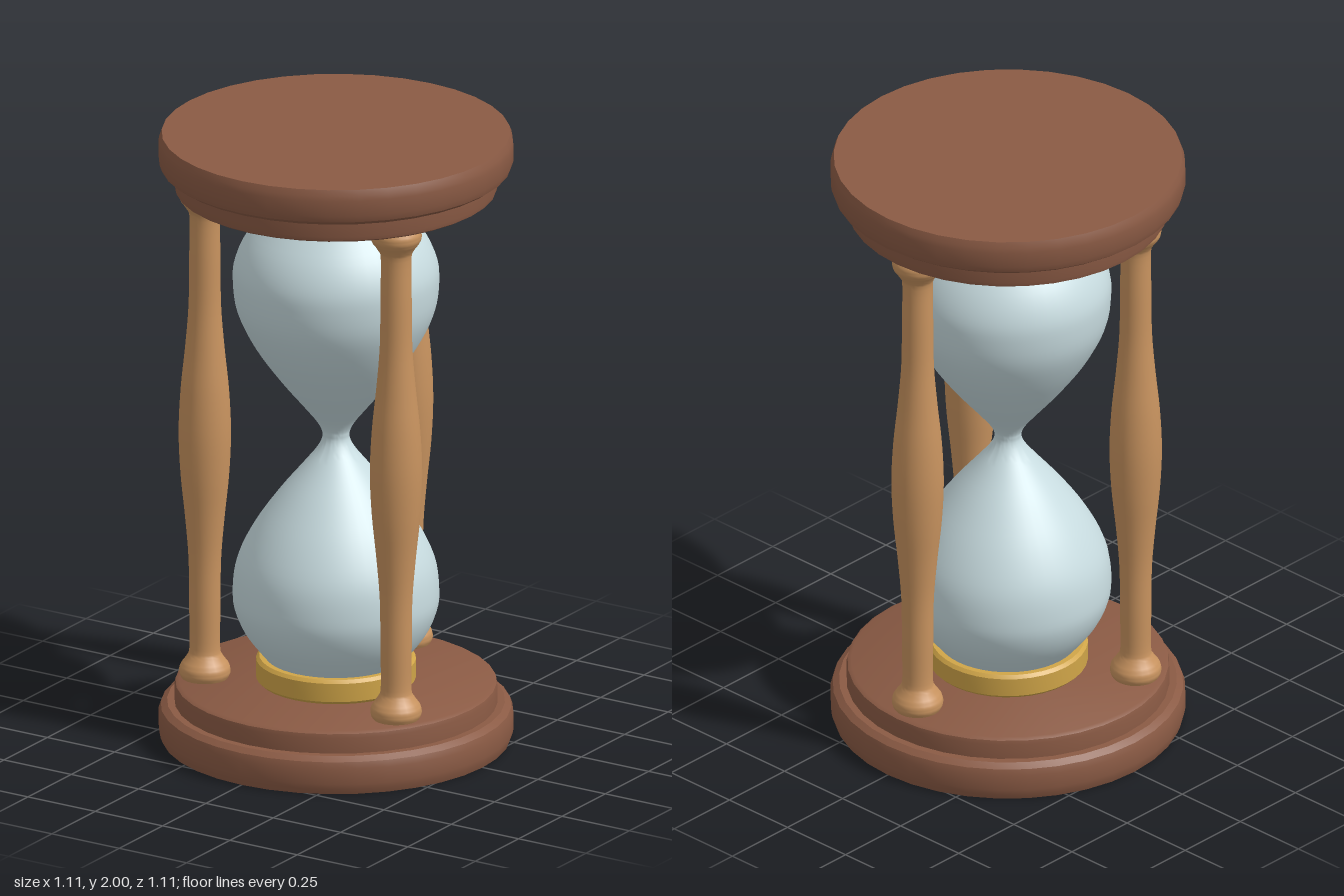
import * as THREE from 'three';
import { toCreasedNormals } from 'three/addons/utils/BufferGeometryUtils.js';

const material = (name, color) => {
  const m = new THREE.MeshStandardMaterial({ color });
  m.name = name;
  return m;
};

// Turned solid from [radius, height] pairs, listed bottom to top
function turned(name, profile, segments, mat, crease = 0.6) {
  const points = profile.map(([r, y]) => new THREE.Vector2(r, y));
  const geometry = toCreasedNormals(new THREE.LatheGeometry(points, segments), crease);
  const mesh = new THREE.Mesh(geometry, mat);
  mesh.name = name;
  return mesh;
}

// Half profile mirrored about y = 1, then smoothed with a spline
function mirroredCurve(half, samples) {
  const full = [...half, ...half.slice(0, -1).reverse().map(([r, y]) => [r, 2 - y])];
  const curve = new THREE.SplineCurve(full.map(([r, y]) => new THREE.Vector2(r, y)));
  return curve.getPoints(samples).map((p) => [p.x, p.y]);
}

export function createModel() {
  const group = new THREE.Group();
  group.name = 'hourglass';
  const darkWood = material('dark wood', 0x8a5a44);
  const lightWood = material('light wood', 0xc8935f);
  const glass = material('pale glass', 0xc8dce0);
  const brass = material('brass', 0xd0a548);

  // Stepped plate and brass collar, repeated upside down at the top
  for (const end of ['bottom', 'top']) {
    const cap = new THREE.Group();
    cap.name = end + 'Cap';
    cap.add(
      turned('plate', [[0, 0], [0.545, 0], [0.552, 0.018], [0.555, 0.035], [0.555, 0.085],
        [0.548, 0.106], [0.528, 0.12], [0, 0.12]], 36, darkWood),
      turned('plateStep', [[0, 0.11], [0.505, 0.11], [0.505, 0.17], [0.502, 0.183],
        [0.49, 0.19], [0, 0.19]], 36, darkWood),
      turned('collar', [[0, 0.19], [0.24, 0.19], [0.25, 0.2], [0.25, 0.26],
        [0.24, 0.27], [0, 0.27]], 36, brass),
    );
    if (end === 'top') {
      cap.position.y = 2;
      cap.rotation.x = Math.PI;
    }
    group.add(cap);
  }

  // Double glass bulb with a narrow waist
  const bulb = mirroredCurve([[0.215, 0.262], [0.28, 0.345], [0.315, 0.42], [0.323, 0.49],
    [0.308, 0.59], [0.255, 0.7], [0.178, 0.81], [0.1, 0.905], [0.057, 0.96], [0.042, 1]], 72);
  group.add(turned('glassBulb', bulb, 48, glass, 1));

  // Three turned posts: one at the back, two towards the front
  const post = mirroredCurve([[0.07, 0.185], [0.08, 0.205], [0.077, 0.23], [0.058, 0.258],
    [0.048, 0.29], [0.049, 0.42], [0.051, 0.58], [0.062, 0.72], [0.076, 0.86], [0.082, 1]], 72);
  for (let i = 0; i < 3; i++) {
    const angle = Math.PI + (i * Math.PI * 2) / 3;
    const mesh = turned('post' + (i + 1), post, 24, lightWood, 1);
    mesh.position.set(Math.sin(angle) * 0.41, 0, Math.cos(angle) * 0.41);
    group.add(mesh);
  }
  return group;
}
